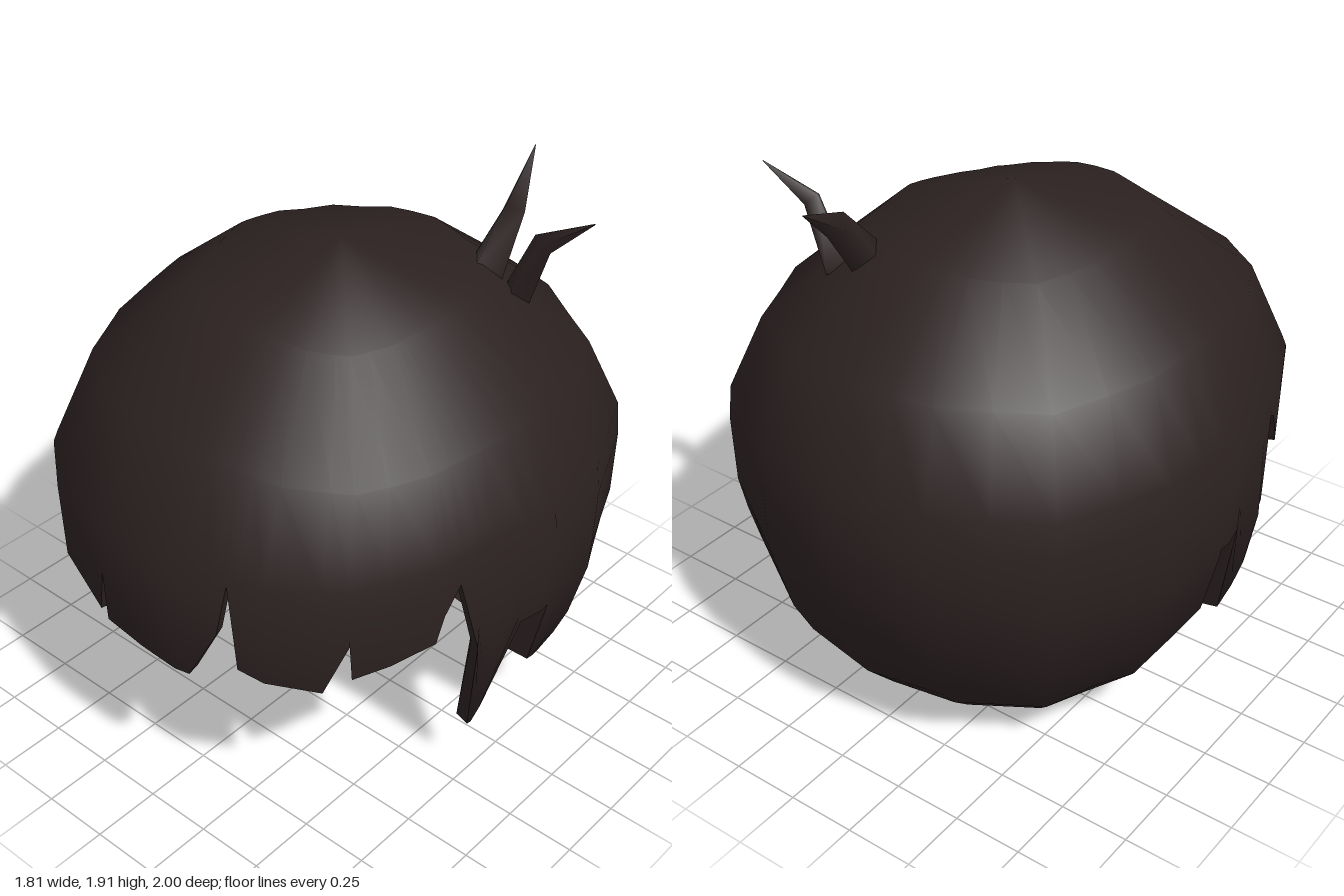
import * as THREE from 'three';

const CENTRE_Y = 0.9;

// Half outline of the head seen from above: [x, z], from front to back
const OUTLINE = [[0, 1], [0.15, 1], [0.47, 0.9], [0.68, 0.735], [0.81, 0.46], [0.905, 0],
  [0.87, -0.34], [0.7, -0.72], [0.34, -0.94], [0, -1]];
// Dome profile: [radius, height], from crown to nape
const PROFILE = [[0, 1.8], [0.5, 1.68], [0.86, 1.415], [1, 1.06],
  [0.99, 0.68], [0.92, 0.42], [0.83, 0.24], [0.57, 0]];
const CROWN_ROWS = [1.8, 1.68, 1.415, 1.1];
const LOWER_ROWS = 8;

function radiusAt(y) {
  for (let i = 1; i < PROFILE.length; i++) {
    const [r0, y0] = PROFILE[i - 1], [r1, y1] = PROFILE[i];
    if (y >= y1) return r0 + (r1 - r0) * Math.min(1, (y0 - y) / (y0 - y1));
  }
  return 0.57;
}

// Distance from the centre to the outline in a direction
function outlineAt(deg) {
  const a = THREE.MathUtils.degToRad(Math.abs(deg));
  let i = 1;
  while (i < OUTLINE.length - 1 && Math.atan2(...OUTLINE[i]) < a) i++;
  const [x0, z0] = OUTLINE[i - 1], [x1, z1] = OUTLINE[i];
  const dx = x1 - x0, dz = z1 - z0;
  return (x0 * dz - z0 * dx) / (Math.sin(a) * dz - Math.cos(a) * dx);
}

// Point on the dome; the crown leans sideways, slopes to the front and dips on the diagonals
function domePoint(deg, y, flare = 0) {
  const a = THREE.MathUtils.degToRad(deg);
  const r = radiusAt(y) * outlineAt(deg) * (1 + flare);
  const p = new THREE.Vector3(r * Math.sin(a), y, r * Math.cos(a));
  if (y > 1.1 && y < 1.8) {
    p.y -= 0.045 * p.x + 0.03 * Math.sin(2 * a) ** 2;
    if (p.z > 0) p.z *= 0.95;
  }
  return p;
}

// Lining is close behind the fringe and locks, thicker behind the ears
function liningScale(deg) {
  const a = Math.abs(deg);
  if (a < 80) return 0.955;
  if (a < 92.5) return THREE.MathUtils.mapLinear(a, 80, 92.5, 0.955, 0.87);
  return THREE.MathUtils.mapLinear(a, 92.5, 180, 0.87, 0.9);
}

// Dome height that lands on a given height once shrunk towards the centre
const unscaled = (y, scale) => CENTRE_Y + (y - CENTRE_Y) / scale;

// Dome height where the slanted nape cut meets the shrunken dome
function napeHeight(deg, scale = 1) {
  let y = 0.2;
  for (let i = 0; i < 80; i++) {
    const cut = 0.42 + 0.79 * (domePoint(deg, y).z * scale + 0.04);
    y += (unscaled(Math.max(0, cut), scale) - y) * 0.4;
  }
  return y;
}

// Hem around the head: [angle from the front, outer height, flare, lining height]
function hemColumns() {
  const fringe = [
    [-64, 0.98], [-62, 0.92], [-60.4, 0.86], [-57, 0.81], [-43.5, 0.81], [-43.2, 0.9], [-42.8, 0.77],
    [-34, 0.77], [-32.2, 0.84], [-32, 0.785], [-27.6, 0.77], [-20, 0.74], [-12.6, 0.71],
    [-9.8, 0.9], [-9.6, 0.7], [0, 0.68], [8.5, 0.667], [11.5, 0.66], [18, 0.87], [20.5, 1.08],
    [22, 0.75], [27.6, 0.74, 0.015], [38, 0.72, 0.03], [42.8, 0.91, 0.02], [43.2, 0.77, 0.02],
    [50.6, 0.77, 0.01], [60.4, 0.8], [62.3, 0.9],
  ];
  const side = [[66, 1], [71, 0.7, 0.02], [74.8, 0.25, 0.07], [76, 0.25, 0.07], [84.2, 0.7], [90, 0.7], [92.6, 0.7]];
  const mirrored = side.map(([deg, ...rest]) => [-deg, ...rest]);
  const front = [...fringe, ...side, ...mirrored].map(([deg, y, flare = 0]) =>
    [deg, y, flare, unscaled(y, liningScale(deg))]);
  const nape = [92.8, 101, 111.3, 123, 135.8, 148, 160.1, 170].flatMap((deg) => [deg, -deg]);
  const back = [...nape, 180].map((deg) => [deg, napeHeight(deg), 0, napeHeight(deg, liningScale(deg))]);
  return [...front, ...back].sort((a, b) => a[0] - b[0]);
}

function geometryFrom(points, index) {
  const g = new THREE.BufferGeometry().setFromPoints(points);
  g.setIndex(index);
  g.computeVertexNormals();
  return g;
}

// Smooth oval normals, side 1 outward or -1 inward
function roundNormals(g, side) {
  const p = g.attributes.position, n = new THREE.Vector3();
  for (let i = 0; i < p.count; i++) {
    n.set(p.getX(i) / 0.82, (p.getY(i) - CENTRE_Y) / 0.85, p.getZ(i)).normalize().multiplyScalar(side);
    g.attributes.normal.setXYZ(i, n.x, n.y, n.z);
  }
  return g;
}

// Quads between rows of a closed ring grid
function gridIndex(rows, cols, flip) {
  const index = [];
  for (let i = 0; i < rows - 1; i++) {
    for (let j = 0; j < cols; j++) {
      const k = (j + 1) % cols;
      const a = i * cols + j, b = a + cols, c = (i + 1) * cols + k, d = i * cols + k;
      if (flip) index.push(a, c, b, a, d, c);
      else index.push(a, b, c, a, c, d);
    }
  }
  return index;
}

// Rows of dome points from the crown down to each column's hem
function domeRows(columns, heightSlot) {
  const points = [];
  for (const y of CROWN_ROWS) for (const [deg] of columns) points.push(domePoint(deg, y));
  for (let k = 1; k <= LOWER_ROWS; k++) {
    const t = k / LOWER_ROWS;
    for (const col of columns) {
      points.push(domePoint(col[0], THREE.MathUtils.lerp(1.1, col[heightSlot], t), col[2] * t));
    }
  }
  return points;
}

// Bent spike through centre points with tapering rings
function spike(path, radii, sides = 4) {
  const pts = path.map((p) => new THREE.Vector3(...p));
  const out = [];
  pts.forEach((p, i) => {
    const dir = pts[Math.min(i + 1, pts.length - 1)].clone().sub(pts[Math.max(i - 1, 0)]).normalize();
    const u = new THREE.Vector3(0, 0, 1).cross(dir).normalize();
    const v = dir.clone().cross(u);
    for (let s = 0; s < sides; s++) {
      const a = (s / sides) * Math.PI * 2;
      out.push(p.clone().addScaledVector(u, radii[i] * Math.cos(a)).addScaledVector(v, radii[i] * Math.sin(a)));
    }
  });
  return geometryFrom(out, gridIndex(pts.length, sides, true));
}

export function createModel() {
  const group = new THREE.Group();
  group.name = 'hair';
  const hair = new THREE.MeshStandardMaterial({ color: 0x2c2121, side: THREE.DoubleSide });
  hair.name = 'dark brown hair';
  const add = (name, geometry) => {
    const mesh = new THREE.Mesh(geometry, hair);
    mesh.name = name;
    group.add(mesh);
  };

  // Outer dome, running down into the fringe, side locks and nape
  const columns = hemColumns();
  const rows = CROWN_ROWS.length + LOWER_ROWS, cols = columns.length;
  const outer = domeRows(columns, 1);
  add('outerHair', roundNormals(geometryFrom(outer, gridIndex(rows, cols, false)), 1));

  // Inner lining
  const inner = domeRows(columns, 3).map((p, i) => {
    const s = liningScale(columns[i % cols][0]);
    return new THREE.Vector3(p.x * s, CENTRE_Y + (p.y - CENTRE_Y) * (p.y > 1.1 ? 0.92 : s), p.z * s);
  });
  add('innerLining', roundNormals(geometryFrom(inner, gridIndex(rows, cols, true)), -1));

  // Flat cut edge joining the two
  const rim = geometryFrom([...outer.slice(-cols), ...inner.slice(-cols)], gridIndex(2, cols, false)).toNonIndexed();
  rim.computeVertexNormals();
  add('hemEdge', rim);

  // Two stray tufts on the crown
  add('backTuft', spike([[0.28, 1.58, -0.42], [0.285, 1.77, -0.57], [0.2, 1.91, -0.8]], [0.075, 0.048, 0.002]));
  add('sideTuft', spike([[0.4, 1.53, -0.45], [0.49, 1.76, -0.455], [0.655, 1.87, -0.5]], [0.055, 0.04, 0.002]));
  return group;
}
